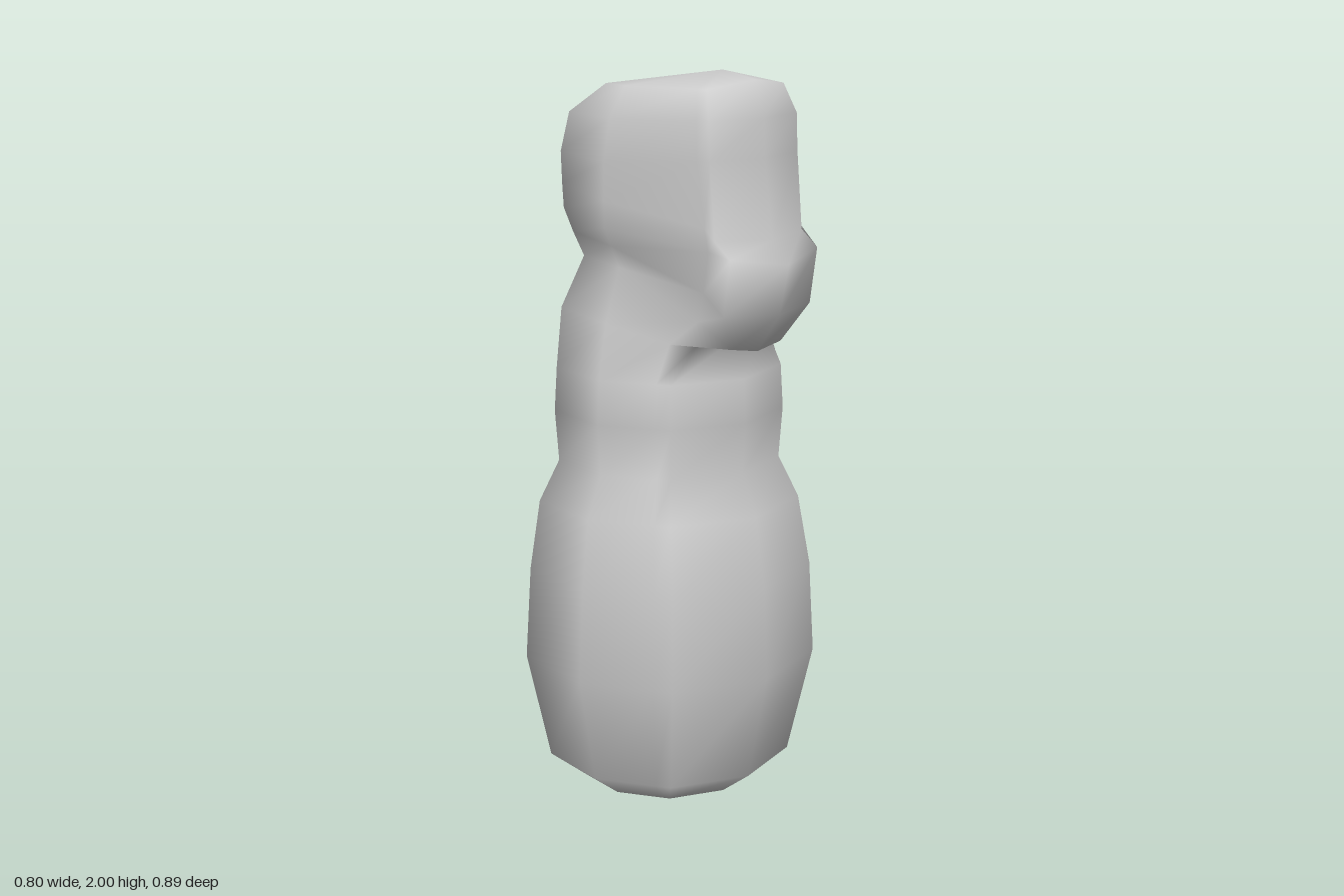
import * as THREE from 'three';

// Each half section runs back, rear flank, side, cheek, front corner, front.
const mirrorRing = (half) => [
  ...half,
  ...half.slice(1, -1).reverse().map(([x, y, z]) => [-x, y, z]),
];

const mix = (a, b, t) => a.map((v, i) => v + (b[i] - v) * t);

// Level section of the body: height, half width, front z, back z
function bodyRing(y, w, zf, zb) {
  const c = (zf + zb) / 2, d = (zf - zb) / 2;
  const side = [w, y, c + 0.265 * d];
  const corner = [0.64 * w, y, c + 0.783 * d];
  return mirrorRing([
    [0, y, zb], [0.975 * w, y, c - 0.35 * d], side,
    mix(corner, side, 0.2), corner, [0, y, zf],
  ]);
}

// Tilted section of the head: the front may sit lower to form the muzzle
function headRing(w, y, [yb, zb], [yf, zf], corner, cheek) {
  const side = [w, y, 0.04];
  return mirrorRing([
    [0, yb, zb], [0.84 * w, (y + yb) / 2, 0.68 * zb], side,
    cheek || mix(corner, side, 0.12), corner, [0, yf, zf],
  ]);
}

// Smooth skin over a stack of rings, closed by a point at each end
function loft(rings, bottom, top) {
  const n = rings[0].length;
  const points = [...rings.flat(), bottom, top];
  const low = points.length - 2, high = low + 1;
  const index = [];
  for (let j = 0; j < n; j++) {
    const k = (j + 1) % n;
    for (let i = 0; i < rings.length - 1; i++) {
      const a = i * n + j, b = i * n + k;
      index.push(a, a + n, b, b, a + n, b + n);
    }
    const last = (rings.length - 1) * n;
    index.push(low, j, k, high, last + k, last + j);
  }
  const geometry = new THREE.BufferGeometry();
  geometry.setAttribute('position', new THREE.Float32BufferAttribute(points.flat(), 3));
  geometry.setIndex(index);
  geometry.computeVertexNormals();
  return geometry;
}

export function createModel() {
  const rings = [
    // base and lower body
    bodyRing(0, 0.235, 0.21, -0.28),
    bodyRing(0.08, 0.335, 0.315, -0.38),
    bodyRing(0.385, 0.4, 0.385, -0.445),
    bodyRing(0.64, 0.385, 0.372, -0.43),
    bodyRing(0.83, 0.355, 0.335, -0.4),
    // waist and chest
    bodyRing(0.94, 0.3, 0.28, -0.345),
    bodyRing(1.08, 0.31, 0.29, -0.355),
    bodyRing(1.2, 0.303, 0.283, -0.348),
    // throat
    headRing(0.27, 1.345, [1.345, -0.308], [1.3, 0.24], [0.11, 1.3, 0.225], [0.17, 1.3, 0.18]),
    // neck and chin
    headRing(0.224, 1.49, [1.49, -0.23], [1.285, 0.334], [0.085, 1.3, 0.33], [0.14, 1.37, 0.26]),
    // muzzle
    headRing(0.25, 1.55, [1.56, -0.257], [1.395, 0.418], [0.15, 1.4, 0.37], [0.148, 1.45, 0.29]),
    headRing(0.272, 1.6, [1.64, -0.28], [1.53, 0.45], [0.15, 1.55, 0.395], [0.15, 1.56, 0.31]),
    headRing(0.273, 1.67, [1.7, -0.287], [1.585, 0.387], [0.15, 1.59, 0.335], [0.155, 1.62, 0.3]),
    // brow and crown
    headRing(0.272, 1.77, [1.77, -0.295], [1.79, 0.355], [0.15, 1.79, 0.315]),
    headRing(0.252, 1.88, [1.87, -0.27], [1.89, 0.35], [0.15, 1.89, 0.31]),
    headRing(0.2, 1.96, [1.95, -0.118], [1.985, 0.318], [0.13, 1.965, 0.28]),
  ];
  const figure = new THREE.Mesh(
    loft(rings, [0, 0, -0.03], [0, 2, 0.19]),
    new THREE.MeshStandardMaterial({ color: 0xcccccc }),
  );
  figure.name = 'figureBody';

  const model = new THREE.Group();
  model.name = 'standingFigure';
  model.add(figure);
  return model;
}
